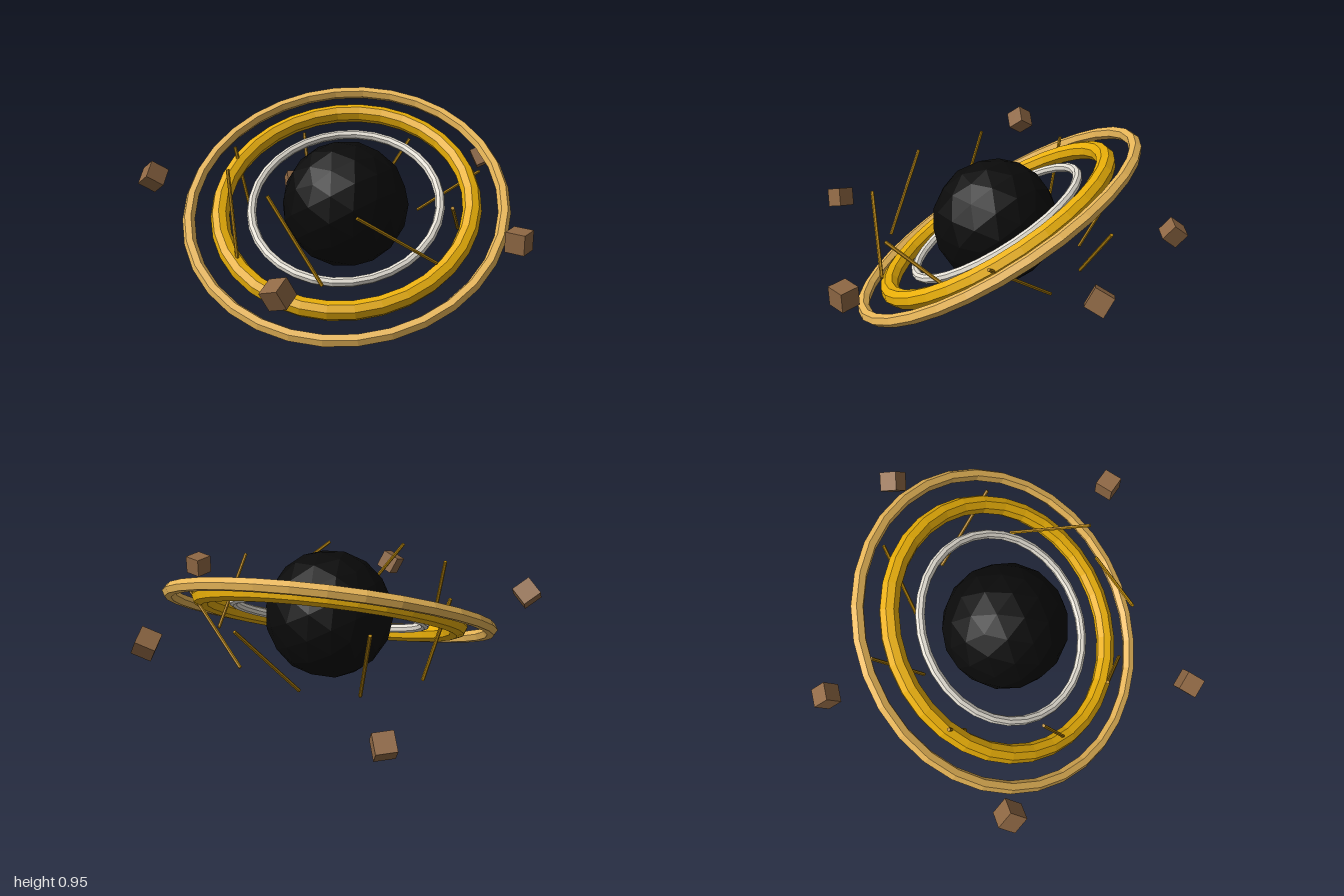
import * as THREE from 'three';

const U = 0.325; // core radius

function mat(color) {
  return new THREE.MeshStandardMaterial({ color, flatShading: true });
}

function add(parent, name, geometry, material) {
  const mesh = new THREE.Mesh(geometry, material);
  mesh.name = name;
  parent.add(mesh);
  return mesh;
}

export function createModel() {
  const model = new THREE.Group();
  model.name = 'ringedCore';
  const center = new THREE.Vector3(-0.08, 0.48, 0);

  // Faceted dark core
  add(model, 'core', new THREE.IcosahedronGeometry(U, 2), mat(0x0a0a0a)).position.copy(center);

  // Three coplanar tilted rings: name, radius, tube, sides, color
  const rings = new THREE.Group();
  rings.name = 'rings';
  rings.position.copy(center);
  rings.rotation.set(-Math.PI / 3, Math.PI / 12, 0);
  model.add(rings);
  for (const [name, radius, tube, sides, color] of [
    ['innerRing', 1.5, 0.075, 8, 0xe5e0d5],
    ['middleRing', 2, 0.15, 8, 0xe8ae08],
    ['outerRing', 2.5, 0.1, 6, 0xe8b658],
  ]) {
    add(rings, name, new THREE.TorusGeometry(radius * U, tube * U, sides, 32), mat(color));
  }

  // Eight thin rods around the core, each from its upper end to its lower end
  const rodMat = mat(0xb8860b);
  const rodEnds = [
    [0.323, 0.625, 0.497, 0.56, 0.34, 0.15],
    [-0.095, 0.68, 0.605, 0.175, 0.276, 0.55],
    [-0.45, 0.716, 0.475, -0.34, 0.25, 0.55],
    [-0.714, 0.714, 0.122, -0.598, 0.244, 0.106],
    [-0.64, 0.695, -0.388, -0.482, 0.267, -0.243],
    [-0.13, 0.665, -0.705, -0.26, 0.297, -0.434],
    [0.44, 0.627, -0.47, 0.053, 0.333, -0.508],
    [0.585, 0.602, 0.075, 0.413, 0.355, -0.307],
  ];
  for (const e of rodEnds) {
    const a = new THREE.Vector3(e[0], e[1], e[2]);
    const b = new THREE.Vector3(e[3], e[4], e[5]);
    const rod = add(model, 'rod', new THREE.CylinderGeometry(0.0092, 0.0092, 1.5 * U, 6), rodMat);
    rod.position.lerpVectors(a, b, 0.5);
    rod.quaternion.setFromUnitVectors(new THREE.Vector3(0, 1, 0), a.sub(b).normalize());
  }

  // Five tumbling cubes on a wavy orbit
  const cubeMat = mat(0x8f6844);
  const cubeGeo = new THREE.BoxGeometry(0.3 * U, 0.3 * U, 0.3 * U);
  for (let i = 0; i < 5; i++) {
    const t = (i / 5) * Math.PI * 2;
    const cube = add(model, 'cube', cubeGeo, cubeMat);
    cube.position.set(3 * U * Math.cos(t), -0.5 * U * Math.sin(2 * t), 3 * U * Math.sin(t)).add(center);
    cube.rotation.set(0.35 * i, 0.15 * i, 0.27 * i);
  }
  return model;
}
